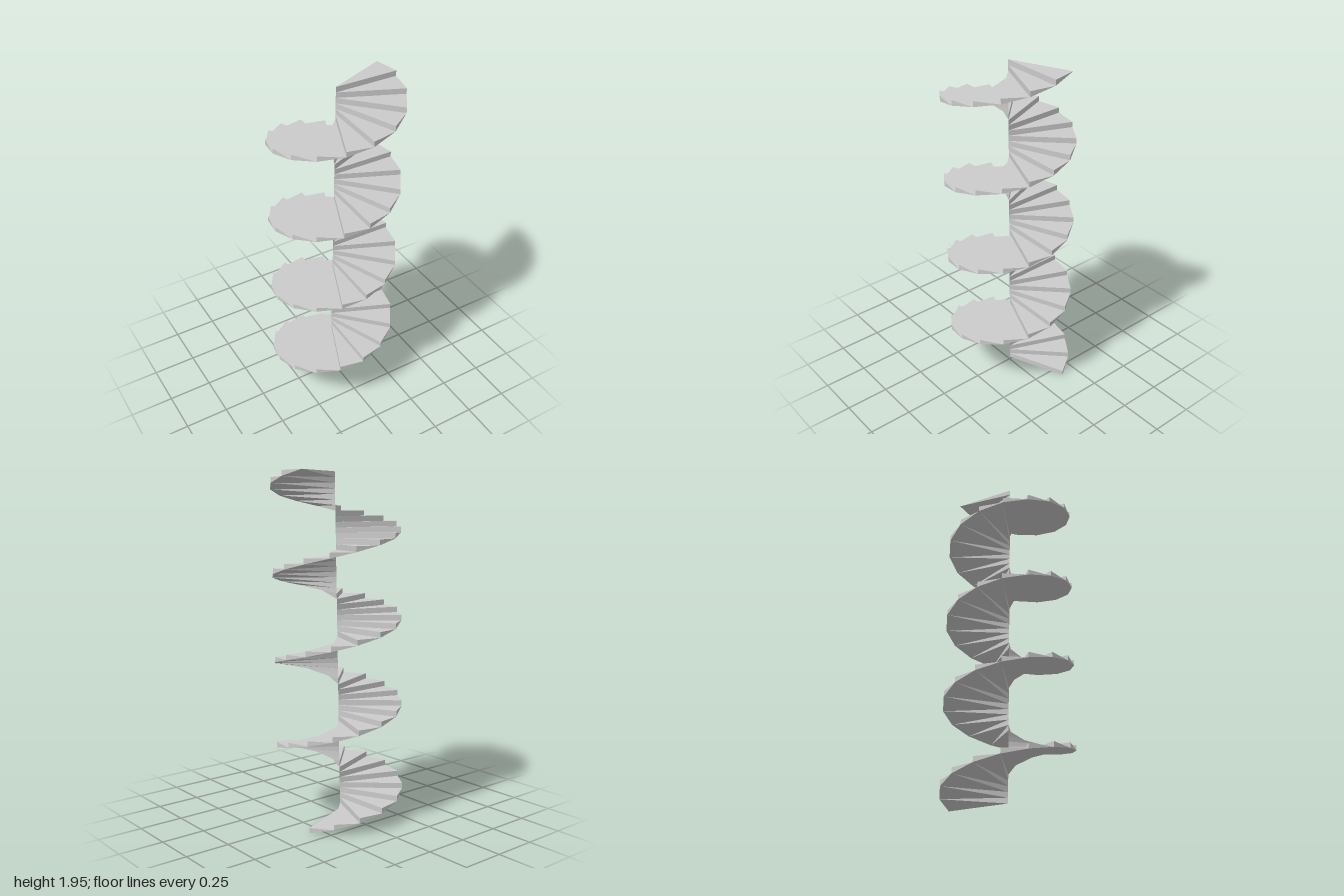
import * as THREE from 'three';

const STEPS = 64;          // four turns of sixteen steps
const ANGLE = Math.PI / 8; // turn per step
const RADIUS = 0.361;
const RISE = 1.953 / STEPS;

// One winder step: flat tread, full riser, underside sloping up to the next step
function createStepGeometry() {
  const x = RADIUS * Math.cos(ANGLE), z = -RADIUS * Math.sin(ANGLE);
  const points = [
    [0, 0, 0],            // 0 inner, bottom of riser
    [RADIUS, 0, 0],       // 1 outer, bottom of riser
    [0, RISE, 0],         // 2 inner, top of riser
    [RADIUS, RISE, 0],    // 3 outer, top of riser
    [x, RISE, z],         // 4 outer, back of tread
  ];
  const faces = [
    [0, 1, 3], [0, 3, 2], // riser
    [2, 3, 4],            // tread
    [1, 4, 3],            // outer end
    [0, 4, 1], [0, 2, 4], // underside
  ];
  const geometry = new THREE.BufferGeometry();
  geometry.setAttribute('position',
    new THREE.Float32BufferAttribute(faces.flat().flatMap((i) => points[i]), 3));
  geometry.computeVertexNormals();
  return geometry;
}

export function createModel() {
  const model = new THREE.Group();
  model.name = 'spiralStaircase';

  const material = new THREE.MeshStandardMaterial({ color: 0xcccccc, side: THREE.DoubleSide });
  const geometry = createStepGeometry();

  // Steps climb anticlockwise around a bare axis
  const flight = new THREE.Group();
  flight.name = 'flight';
  for (let i = 0; i < STEPS; i++) {
    const step = new THREE.Mesh(geometry, material);
    step.name = `step${i + 1}`;
    step.position.y = i * RISE;
    step.rotation.y = (i + 1) * ANGLE;
    flight.add(step);
  }

  // The whole flight leans very slightly
  flight.position.set(-0.011, 0.002, -0.014);
  flight.rotation.set(0.0145, 0, -0.0085);
  model.add(flight);
  return model;
}
